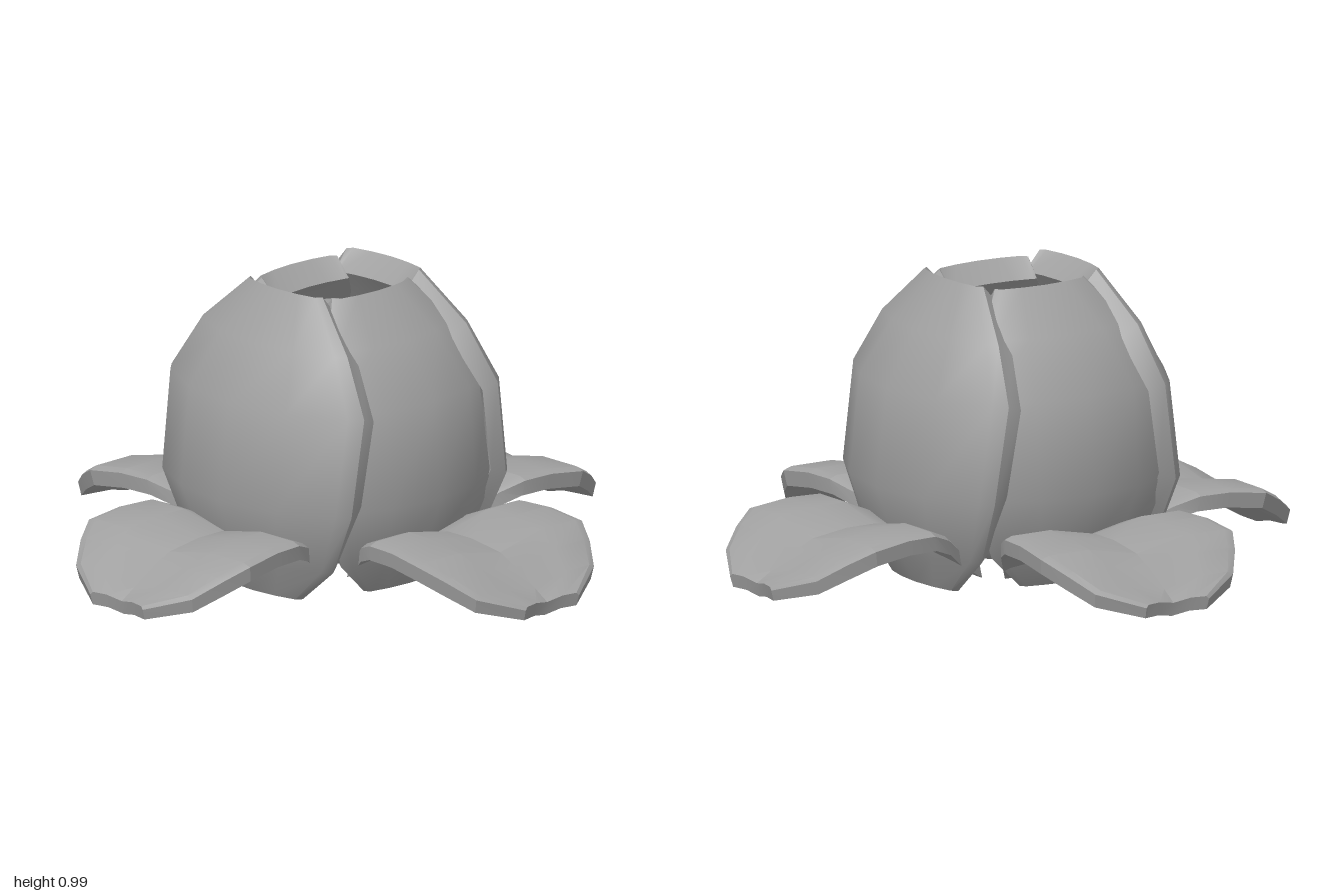
import * as THREE from 'three';
import { toCreasedNormals } from 'three/addons/utils/BufferGeometryUtils.js';

const COLS = [-1, -0.92, -0.5, 0, 0.5, 0.92, 1];

// Closed thick sheet: each row is a loop of outer points followed by inner points reversed
function sheet(rows, outer, inner, crease) {
  const n = COLS.length, m = 2 * n;
  const pos = [], idx = [];
  for (const row of rows) {
    for (const v of COLS) pos.push(...outer(row, v));
    for (const v of [...COLS].reverse()) pos.push(...inner(row, v));
  }
  const quad = (a, b, c, d) => idx.push(a, b, c, a, c, d);
  for (let i = 0; i < rows.length - 1; i++) {
    for (let j = 0; j < m; j++) {
      const k = (j + 1) % m;
      quad(i * m + j, i * m + k, (i + 1) * m + k, (i + 1) * m + j);
    }
  }
  // end caps
  const last = (rows.length - 1) * m;
  for (let j = 0; j < n - 1; j++) {
    quad(m - 1 - j, m - 2 - j, j + 1, j);
    quad(last + j, last + j + 1, last + m - 2 - j, last + m - 1 - j);
  }
  const g = new THREE.BufferGeometry();
  g.setAttribute('position', new THREE.Float32BufferAttribute(pos, 3));
  g.setIndex(idx);
  return toCreasedNormals(g, crease);
}

// Upright petals, rows: [height, radius, half width, thickness]
const SIDE_PETAL = [
  [0, 0.37, 0.185, 0.03],
  [0.12, 0.44, 0.33, 0.07],
  [0.33, 0.52, 0.43, 0.08],
  [0.65, 0.48, 0.44, 0.08],
  [0.83, 0.375, 0.33, 0.08],
  [0.985, 0.255, 0.165, 0.075],
];
const INNER_PETAL = [
  [0.02, 0.345, 0.17, 0.03],
  [0.13, 0.41, 0.29, 0.07],
  [0.33, 0.485, 0.375, 0.08],
  [0.65, 0.455, 0.38, 0.08],
  [0.83, 0.335, 0.28, 0.08],
  [0.97, 0.2, 0.17, 0.075],
];

// Cupped petal facing +z
function petalGeometry(rows) {
  const cup = (t) => 0.85 * t * t;
  const outer = ([y, r, w], v) =>
    [v * w, y, r - cup(v * w) - (Math.abs(v) === 1 ? 0.015 : 0)];
  const inner = ([y, r, w, th], v) => {
    const t = v * w * 0.97;
    return [t, y + (0.5 - y) * 0.13, r - th - cup(t)];
  };
  return sheet(rows, outer, inner, 0.68);
}

// Drooping leaf reaching along +z, rows from tip: [reach, height, half width, thickness]
function leafGeometry() {
  const rows = [
    [0.965, 0.08, 0.12, 0.045],
    [0.91, 0.114, 0.265, 0.055],
    [0.83, 0.163, 0.325, 0.06],
    [0.75, 0.2, 0.368, 0.06],
    [0.62, 0.218, 0.36, 0.06],
    [0.51, 0.218, 0.35, 0.06],
    [0.43, 0.19, 0.31, 0.06],
    [0.35, 0.14, 0.25, 0.06],
    [0.2, 0.06, 0.14, 0.05],
  ];
  // shallow valley along the midrib, notched tip
  const rise = (v, w) => 0.1 * w * Math.min(1, Math.abs(v) * 2);
  const reach = (s, v) => s + (s > 0.95 ? 0.024 * Math.abs(v) : 0);
  const outer = ([s, y, w], v) =>
    [v * w, y + rise(v, w) - (Math.abs(v) === 1 ? 0.01 : 0), reach(s, v)];
  const inner = ([s, y, w, th], v) =>
    [v * w * 0.98, y + rise(v, w) - th, reach(s, v) - 0.01];
  return sheet(rows, outer, inner, 0.37);
}

export function createModel() {
  const model = new THREE.Group();
  model.name = 'flower';
  const material = new THREE.MeshStandardMaterial({ color: 0xa0a0a0 });
  const twist = THREE.MathUtils.degToRad(-5);

  const bud = new THREE.Group();
  bud.name = 'bud';
  bud.position.set(-0.03, 0, 0.02);
  bud.rotation.y = twist;
  const leaves = new THREE.Group();
  leaves.name = 'leaves';
  leaves.rotation.y = twist;
  model.add(bud, leaves);

  // front and back petals tuck behind the wider side ones
  const petalGeos = [petalGeometry(INNER_PETAL), petalGeometry(SIDE_PETAL)];
  const leafGeo = leafGeometry();
  for (let i = 0; i < 4; i++) {
    const petal = new THREE.Mesh(petalGeos[i % 2], material);
    petal.name = i % 2 ? 'sidePetal' : 'innerPetal';
    petal.rotation.y = (i * Math.PI) / 2;
    bud.add(petal);

    const leaf = new THREE.Mesh(leafGeo, material);
    leaf.name = 'leaf';
    leaf.rotation.y = (i * Math.PI) / 2;
    leaves.add(leaf);
  }

  // rounded heart of the bud, closing the base and seen through the opening
  const profile = [
    [0, 0.05], [0.2, 0.07], [0.31, 0.16], [0.33, 0.4], [0.3, 0.62],
    [0.22, 0.79], [0.15, 0.85], [0.08, 0.875], [0, 0.88],
  ].map(([r, y]) => new THREE.Vector2(r, y));
  const core = new THREE.Mesh(new THREE.LatheGeometry(profile, 20), material);
  core.name = 'core';
  bud.add(core);

  return model;
}
